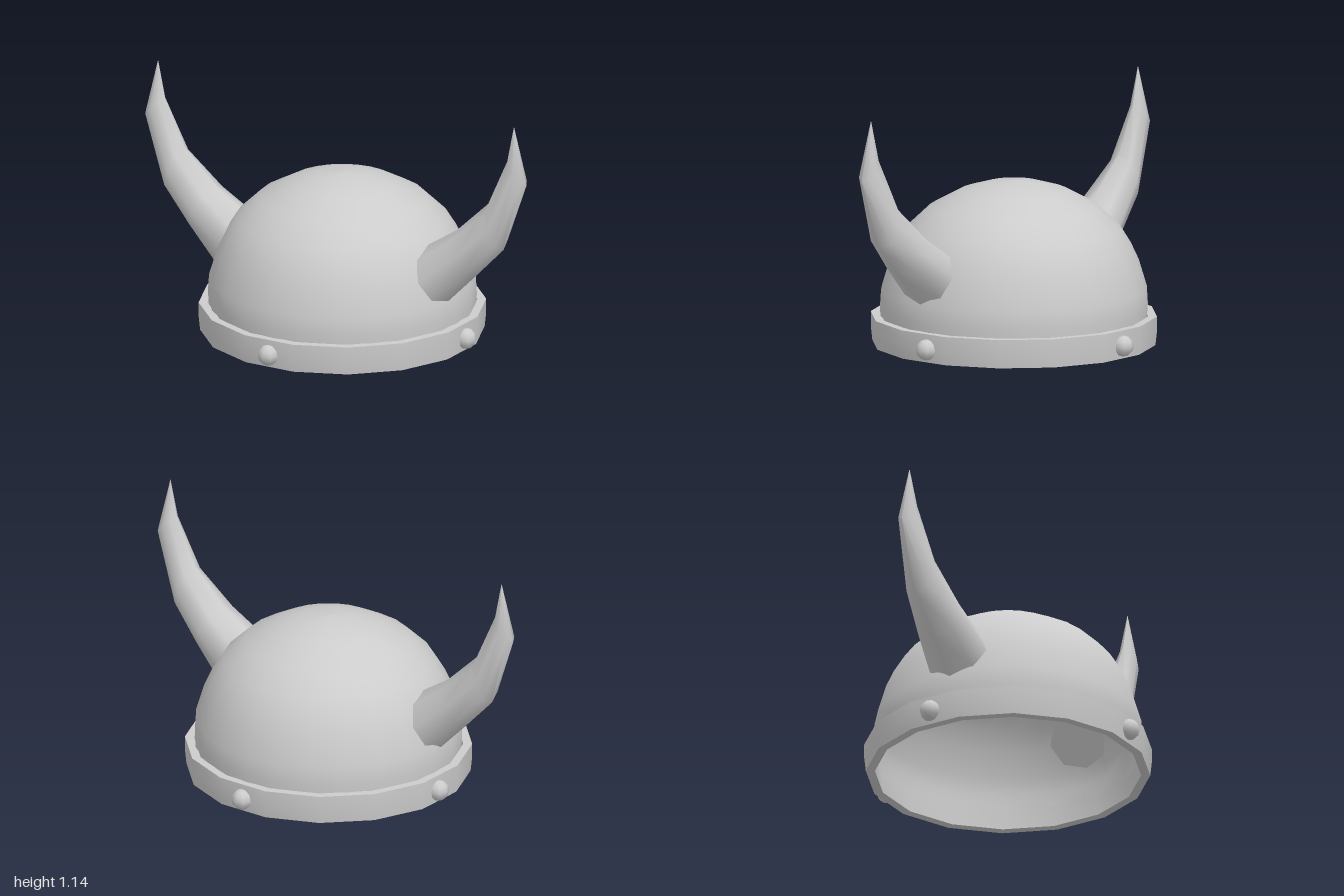
import * as THREE from 'three';
import { toCreasedNormals } from 'three/addons/utils/BufferGeometryUtils.js';

const mat = new THREE.MeshStandardMaterial({ color: 0xcccccc });
const shellMat = new THREE.MeshStandardMaterial({ color: 0xcccccc, side: THREE.DoubleSide });

function addMesh(parent, name, geometry, material = mat) {
  const mesh = new THREE.Mesh(geometry, material);
  mesh.name = name;
  parent.add(mesh);
  return mesh;
}

const profile = (pts) => pts.map(([r, y]) => new THREE.Vector2(r, y));

// Horn stations: upper edge x, y; lower edge x, y; half depth in z
const HORN = [
  [0.47, 0.49, 0.585, 0.245, 0.155],
  [0.635, 0.595, 0.735, 0.395, 0.12],
  [0.80, 0.75, 0.88, 0.545, 0.08],
  [0.90, 0.97, 1.0, 0.87, 0.04],
  [0.935, 1.14, 0.935, 1.14, 0],
];

// Lofted horn with a closed base; side is +1 or -1
function hornGeometry(side, drop) {
  const n = 8, positions = [], index = [];
  const [ux, uy, lx, ly] = HORN[0];
  const baseCentre = [(ux + lx) / 2, (uy + ly) / 2];
  const rings = [[...baseCentre, ...baseCentre, 0], ...HORN];
  rings.forEach(([x1, y1, x2, y2, depth]) => {
    for (let j = 0; j < n; j++) {
      const a = side * (j / n) * Math.PI * 2, c = Math.cos(a) / 2;
      positions.push(
        side * ((x1 + x2) / 2 + (x1 - x2) * c),
        (y1 + y2) / 2 + (y1 - y2) * c - drop,
        0.055 + Math.sin(a) * depth);
    }
  });
  for (let i = 0; i < rings.length - 1; i++) {
    for (let j = 0; j < n; j++) {
      const k = (j + 1) % n, a = i * n + j, b = i * n + k;
      if (i > 0) index.push(a, b, a + n);
      if (i < rings.length - 2) index.push(b, b + n, a + n);
    }
  }
  const g = new THREE.BufferGeometry();
  g.setAttribute('position', new THREE.Float32BufferAttribute(positions, 3));
  g.setIndex(index);
  return toCreasedNormals(g, 1.0);
}

export function createModel() {
  const helmet = new THREE.Group();
  helmet.name = 'hornedHelmet';

  // Open dome shell
  addMesh(helmet, 'dome', new THREE.LatheGeometry(profile([
    [0.598, 0.1], [0.603, 0.17], [0.598, 0.25], [0.562, 0.37], [0.525, 0.45], [0.475, 0.53],
    [0.38, 0.62], [0.24, 0.695], [0.12, 0.73], [0, 0.74],
  ]), 24), shellMat);

  // Rim band, a closed rectangular ring
  const band = new THREE.LatheGeometry(profile([
    [0.597, 0], [0.638, 0], [0.645, 0.065], [0.645, 0.13], [0.605, 0.13], [0.597, 0],
  ]), 16, Math.PI / 16);
  addMesh(helmet, 'rimBand', toCreasedNormals(band, 0.8));

  // Four rivets around the rim
  for (let i = 0; i < 4; i++) {
    const a = i * Math.PI / 2;
    const rivet = addMesh(helmet, 'rivet', new THREE.SphereGeometry(0.048, 8, 6));
    rivet.position.set(Math.sin(a) * 0.637, 0.06, Math.cos(a) * 0.637);
    if (i % 2) rivet.position.z -= 0.02;
  }

  // Horns, the right one sitting slightly lower
  addMesh(helmet, 'leftHorn', hornGeometry(1, 0));
  addMesh(helmet, 'rightHorn', hornGeometry(-1, 0.02));

  return helmet;
}
